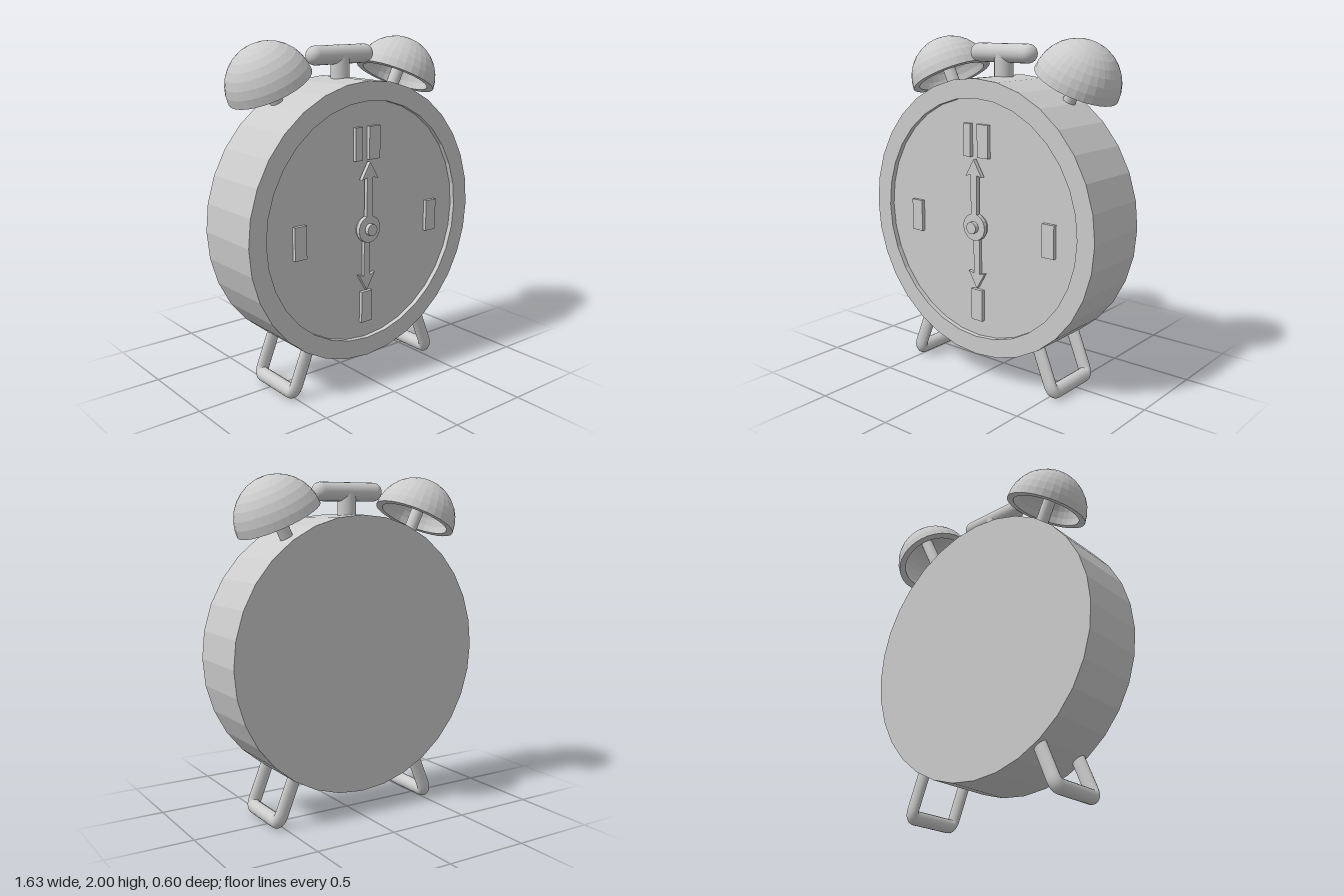
import * as THREE from 'three';

const flat = new THREE.MeshStandardMaterial({ color: 0xcccccc, flatShading: true });
const smooth = new THREE.MeshStandardMaterial({ color: 0xcccccc });

function add(parent, name, geometry, material, x = 0, y = 0, z = 0) {
  const mesh = new THREE.Mesh(geometry, material);
  mesh.name = name;
  mesh.position.set(x, y, z);
  parent.add(mesh);
  return mesh;
}

const lathe = (points, segments) =>
  new THREE.LatheGeometry(points.map(([r, y]) => new THREE.Vector2(r, y)), segments);

const extrude = (shape, depth) =>
  new THREE.ExtrudeGeometry(shape, { depth, bevelEnabled: false, curveSegments: 8 });

// Arrow-tipped hand with a rounded boss at its pivot, pointing along +y
function handShape(length, head, headWidth, boss) {
  const w = 0.022, base = length - head, start = Math.acos(w / boss);
  const s = new THREE.Shape();
  s.moveTo(w, base);
  s.lineTo(headWidth, base - 0.01);
  s.lineTo(0, length);
  s.lineTo(-headWidth, base - 0.01);
  s.lineTo(-w, base);
  s.absarc(0, 0, boss, Math.PI - start, start + 2 * Math.PI, false);
  return s;
}

// Hollow hemispherical bell with a thick rim, open towards -y
function bellGeometry(outer, inner) {
  const arc = (r, i) => [r * Math.sin((i / 8) * Math.PI / 2), r * Math.cos((i / 8) * Math.PI / 2)];
  const points = [];
  for (let i = 0; i <= 8; i++) points.push(arc(inner, i));
  for (let i = 8; i >= 0; i--) points.push(arc(outer, i));
  return lathe(points, 32);
}

// U-shaped foot: two uprights joined by a bar, flattened front to back
function footGeometry() {
  const v = (y, z) => new THREE.Vector3(0, y, z);
  const squash = 0.62, z = 0.17 / squash, bend = 0.05, top = 0.3;
  const path = new THREE.CurvePath();
  path.add(new THREE.LineCurve3(v(top, z), v(bend, z)));
  path.add(new THREE.QuadraticBezierCurve3(v(bend, z), v(0, z), v(0, z - bend)));
  path.add(new THREE.LineCurve3(v(0, z - bend), v(0, bend - z)));
  path.add(new THREE.QuadraticBezierCurve3(v(0, bend - z), v(0, -z), v(bend, -z)));
  path.add(new THREE.LineCurve3(v(bend, -z), v(top, -z)));
  return new THREE.TubeGeometry(path, 80, 0.042, 16).scale(1, 1, squash);
}

export function createModel() {
  const clock = new THREE.Group();
  clock.name = 'alarmClock';

  // Drum with a shallow recessed dial
  const drum = [[0, -0.17], [0.815, -0.17], [0.815, 0.26], [0.705, 0.26], [0.705, 0.23], [0, 0.23]];
  add(clock, 'body', lathe(drum, 32).rotateX(Math.PI / 2), flat, 0, 0.965, 0);

  // Plain raised hour markers: a pair at the top, one on each other side
  const markers = [[-0.065, 1.43, 0.05], [0.05, 1.43, 0.08], [0.51, 0.93, 0.08], [0, 0.455, 0.08], [-0.475, 0.93, 0.08]];
  for (const [x, y, w] of markers) {
    add(clock, 'hourMarker', new THREE.BoxGeometry(w, 0.19, 0.025), flat, x, y, 0.24);
  }

  // Hands and centre pin
  const hands = new THREE.Group();
  hands.name = 'hands';
  hands.position.set(0, 0.932, 0);
  clock.add(hands);
  add(hands, 'minuteHand', extrude(handShape(0.395, 0.09, 0.06, 0.08), 0.025), flat, 0, 0, 0.247);
  add(hands, 'hourHand', extrude(handShape(0.375, 0.09, 0.06, 0.07), 0.02), flat, 0, 0, 0.23)
    .rotation.z = Math.PI;
  add(hands, 'centrePin', new THREE.CylinderGeometry(0.035, 0.035, 0.07, 16).rotateX(Math.PI / 2),
    flat, 0, 0, 0.263);

  // Tilted bells on stems, and splayed feet
  for (const side of [-1, 1]) {
    const bell = new THREE.Group();
    bell.name = side > 0 ? 'leftBell' : 'rightBell';
    bell.position.set(side * 0.463 + 0.01, 1.753, -0.05);
    bell.rotation.z = -side * 0.45;
    clock.add(bell);
    add(bell, 'bellShell', bellGeometry(0.248, 0.208), flat);
    add(bell, 'bellStem', new THREE.CylinderGeometry(0.038, 0.038, 0.4, 16), smooth, 0, 0.02, 0);

    const foot = add(clock, side > 0 ? 'leftFoot' : 'rightFoot', footGeometry(), smooth,
      side * 0.523 + 0.01, 0.044, 0.05);
    foot.rotation.z = side * 0.385;
  }

  // Hammer between the bells
  add(clock, 'hammerPost', new THREE.CylinderGeometry(0.055, 0.055, 0.2, 20), smooth, 0, 1.81, 0);
  add(clock, 'hammerBar', new THREE.CapsuleGeometry(0.055, 0.355, 8, 20).rotateZ(Math.PI / 2),
    smooth, -0.002, 1.91, 0);

  return clock;
}
